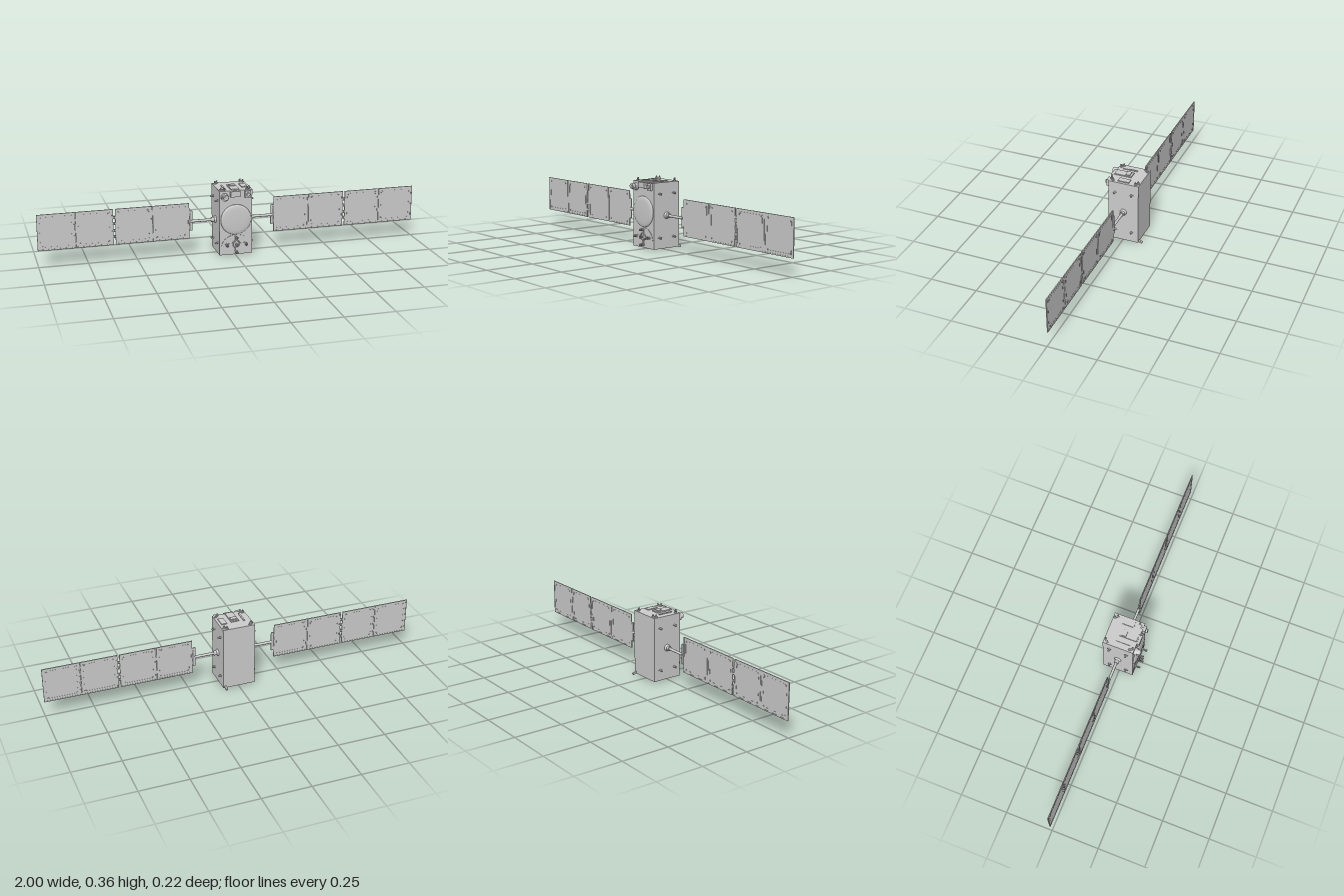
import * as THREE from 'three';

const mat = new THREE.MeshStandardMaterial({ color: 0xcccccc, side: THREE.DoubleSide });

function add(parent, name, geo, x = 0, y = 0, z = 0, rx = 0, ry = 0, rz = 0) {
  const m = new THREE.Mesh(geo, mat);
  m.name = name;
  m.position.set(x, y, z);
  m.rotation.set(rx, ry, rz);
  parent.add(m);
  return m;
}
const box = (w, h, d) => new THREE.BoxGeometry(w, h, d);
const cyl = (r1, r2, h, n = 20) => new THREE.CylinderGeometry(r1, r2, h, n);
const H = Math.PI / 2;

function group(parent, name, x = 0, y = 0, z = 0) {
  const g = new THREE.Group();
  g.name = name;
  g.position.set(x, y, z);
  parent.add(g);
  return g;
}

// Rectangular frame with an opening, centred on its own middle
function frameGeometry(w, h, border, depth) {
  const s = new THREE.Shape();
  s.moveTo(-w / 2, -h / 2).lineTo(w / 2, -h / 2).lineTo(w / 2, h / 2).lineTo(-w / 2, h / 2).closePath();
  const a = w / 2 - border, b = h / 2 - border;
  const hole = new THREE.Path();
  hole.moveTo(-a, -b).lineTo(-a, b).lineTo(a, b).lineTo(a, -b).closePath();
  s.holes.push(hole);
  return new THREE.ExtrudeGeometry(s, { depth, bevelEnabled: false }).translate(0, 0, -depth / 2);
}

// One solar panel: slab, frame, raised inner rim and corner studs
function solarPanel(parent, x, w, h) {
  const p = group(parent, 'solarPanel', x);
  add(p, 'panelSlab', box(w - 0.004, h - 0.004, 0.003));
  add(p, 'panelFrame', frameGeometry(w, h, 0.006, 0.005));
  add(p, 'panelInnerRim', frameGeometry(w - 0.028, h - 0.028, 0.004, 0.004));
  for (const sx of [-1, 1]) for (const sy of [-1, 1])
    add(p, 'panelStud', cyl(0.004, 0.004, 0.009, 10), sx * (w / 2 - 0.022), sy * (h / 2 - 0.02), 0, H);
}

// A wing reaching towards +x from the body's side
function wing(parent, side) {
  const g = group(parent, 'solarWing', 0, 0.179, -0.006);
  if (side < 0) g.rotation.y = Math.PI;
  if (side < 0) g.position.z = -0.006;
  add(g, 'boomSocket', new THREE.SphereGeometry(0.018, 20, 12).scale(0.7, 1, 1), 0.086, -0.003);
  add(g, 'boomCollar', cyl(0.012, 0.012, 0.02), 0.1, -0.003, 0, 0, 0, H);
  add(g, 'boom', cyl(0.007, 0.007, 0.13), 0.15, -0.003, 0, 0, 0, H);
  add(g, 'yoke', box(0.014, 0.105, 0.006), 0.216);
  for (const y of [-0.035, 0, 0.035]) add(g, 'yokeHinge', cyl(0.004, 0.004, 0.016, 10), 0.222, y);
  const w = 0.19, h = 0.188;
  for (const x of [0.32, 0.512, 0.713, 0.905]) solarPanel(g, x, w, h);
  // Hinges in the gap between the two pairs of panels
  for (const y of [-0.05, -0.018, 0.018, 0.05]) {
    add(g, 'panelHinge', box(0.018, 0.008, 0.005), 0.6125, y);
    add(g, 'hingePin', cyl(0.004, 0.004, 0.014, 10), 0.6125, y);
  }
}

// Small coiled antenna pointing to +z
function coilAntenna(parent, x, y) {
  const g = group(parent, 'coilAntenna', x, y, 0.076);
  const pts = [];
  for (let i = 0; i <= 60; i++) {
    const t = i / 60, a = t * Math.PI * 10;
    pts.push(new THREE.Vector3(0.0055 * Math.cos(a), 0.0055 * Math.sin(a), t * 0.028));
  }
  add(g, 'coil', new THREE.TubeGeometry(new THREE.CatmullRomCurve3(pts), 120, 0.0013, 5));
  add(g, 'coilCore', cyl(0.002, 0.002, 0.029, 8), 0, 0, 0.0145, H);
  add(g, 'coilBase', cyl(0.008, 0.008, 0.004, 16), 0, 0, 0.002, H);
}

// Pair of splayed nozzles on a foot
function thrusterPair(parent, x, z, turn) {
  const g = group(parent, 'thrusterPair', x, 0.347, z);
  g.rotation.y = turn;
  add(g, 'thrusterFoot', box(0.028, 0.005, 0.012), 0, 0.0025);
  for (const s of [-1, 1]) add(g, 'nozzle', cyl(0.0045, 0.002, 0.011, 10), s * 0.007, 0.009, 0, 0, 0, -s * 0.5);
}

export function createModel() {
  const model = new THREE.Group();
  model.name = 'satellite';

  // Main body
  add(model, 'body', box(0.172, 0.341, 0.163), 0, 0.1765, -0.0055);

  wing(model, 1);
  wing(model, -1);

  // Studs on both sides
  for (const s of [-1, 1]) for (const y of [0.063, 0.289]) for (const z of [0.04, -0.051]) {
    const g = group(model, 'sideStud', s * 0.086, y, z);
    add(g, 'studPost', cyl(0.003, 0.0055, 0.012, 12), s * 0.006, 0, 0, 0, 0, -s * H);
    add(g, 'studCap', new THREE.SphereGeometry(0.005, 12, 8), s * 0.012);
    add(g, 'studBar', box(0.003, 0.0025, 0.02), s * 0.003);
  }

  // Shallow round dish on the front
  const dish = [[0, 0.012], [0.03, 0.0115], [0.055, 0.0105], [0.07, 0.009], [0.078, 0.006], [0.08, 0.003], [0.08, 0]]
    .reverse().map(([r, h]) => new THREE.Vector2(r, h));
  add(model, 'dish', new THREE.LatheGeometry(dish, 48), 0, 0.193, 0.075, H);

  // Arched antenna plate below the dish
  const arch = new THREE.Shape();
  arch.moveTo(-0.076, 0.05).lineTo(0.076, 0.05).absellipse(0, 0.05, 0.076, 0.062, 0, Math.PI, false);
  add(model, 'archPlate', new THREE.ExtrudeGeometry(arch, { depth: 0.003, bevelEnabled: false, curveSegments: 24 }), 0, 0, 0.075);

  // Cross with a central ring, and coils around it
  add(model, 'crossArm', box(0.11, 0.008, 0.006), 0, 0.063, 0.079);
  add(model, 'crossArm', box(0.008, 0.085, 0.006), 0, 0.062, 0.079);
  add(model, 'crossRing', new THREE.TorusGeometry(0.018, 0.003, 8, 28), 0, 0.063, 0.081);
  add(model, 'crossHub', cyl(0.014, 0.014, 0.006, 24), 0, 0.063, 0.079, H);
  for (const [x, y] of [[0, 0.1], [0, 0.062], [0, 0.022], [-0.05, 0.062], [0.05, 0.062]]) coilAntenna(model, x, y);

  // Sensors along the upper front edge
  const cam = group(model, 'frontSensor', -0.06, 0.321, 0.076);
  add(cam, 'sensorBase', cyl(0.019, 0.019, 0.018, 24), 0, -0.004, 0.008, H);
  add(cam, 'sensorBarrel', cyl(0.014, 0.014, 0.02, 24), 0, 0, 0.023, H);
  add(cam, 'sensorLens', cyl(0.008, 0.008, 0.003, 20), 0, 0, 0.0335, H);
  add(model, 'frontBox', box(0.05, 0.03, 0.012), -0.005, 0.33, 0.082);
  const eye = group(model, 'smallSensor', 0.06, 0.326, 0.076);
  add(eye, 'sensorBase', box(0.03, 0.036, 0.014), 0, 0, 0.007);
  add(eye, 'sensorBarrel', cyl(0.009, 0.009, 0.012, 20), 0, 0, 0.018, H);

  // Equipment on the roof
  add(model, 'roofPlate', box(0.042, 0.006, 0.092), -0.002, 0.35, 0.024);
  add(model, 'roofBox', box(0.034, 0.005, 0.024), -0.002, 0.3555, 0);
  add(model, 'roofPanel', box(0.03, 0.005, 0.06), 0.058, 0.3495, 0);
  add(model, 'roofRail', box(0.008, 0.004, 0.08), -0.05, 0.349, 0.01);
  for (const sx of [-1, 1]) for (const z of [0.06, -0.072])
    thrusterPair(model, sx * 0.068, z, sx * Math.sign(z) * Math.PI / 4);

  // Angled bracket at the lower rear edge
  const br = group(model, 'rearBracket', 0.075, 0.0095, -0.095);
  br.rotation.x = -0.3;
  add(br, 'bracketArm', box(0.01, 0.01, 0.022));
  add(br, 'bracketTip', cyl(0.0065, 0.0065, 0.005, 14), 0, 0, -0.01, H);

  return model;
}
